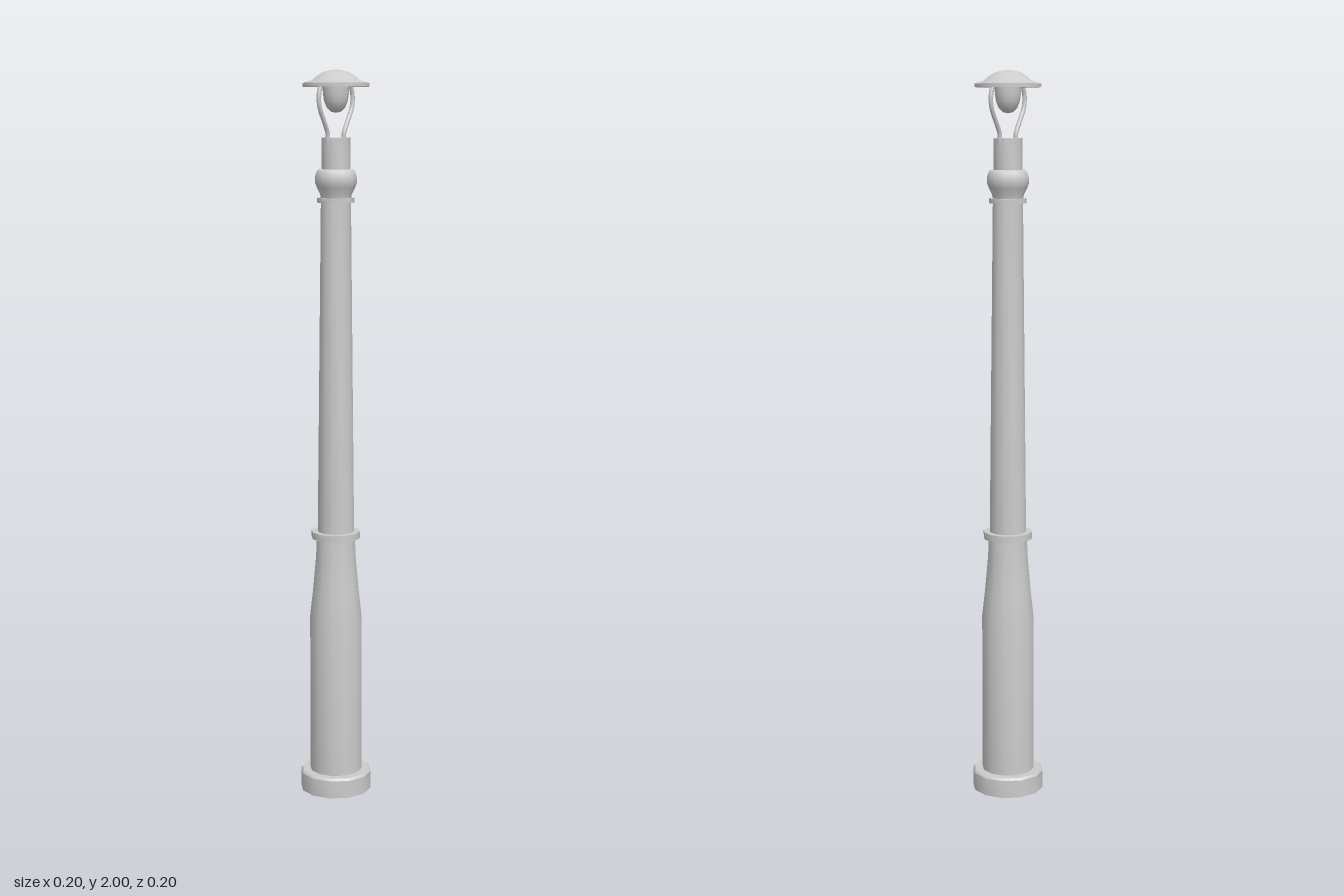
import * as THREE from 'three';
import { toCreasedNormals } from 'three/addons/utils/BufferGeometryUtils.js';

export function createModel() {
  const model = new THREE.Group();
  const material = new THREE.MeshStandardMaterial({ color: 0xcccccc });

  const add = (name, geometry) => {
    const mesh = new THREE.Mesh(geometry, material);
    mesh.name = name;
    model.add(mesh);
    return mesh;
  };

  // Turned part from [radius, height] pairs, bottom to top; 12 sides, corners on the axes
  const turned = (name, profile, crease = 0.6) => {
    const points = profile.map(([r, y]) => new THREE.Vector2(r, y));
    return add(name, toCreasedNormals(new THREE.LatheGeometry(points, 12), crease));
  };

  // Flat ring around the pole
  const collar = (name, r, bottom, top) =>
    turned(name, [[0, bottom], [r, bottom], [r, top], [0, top]]);

  // Pole
  turned('base', [[0, 0], [0.1, 0], [0.1, 0.05], [0.095, 0.056], [0, 0.056]]);
  turned('lowerShaft', [[0.073, 0.05], [0.073, 0.5], [0.064, 0.58], [0.056, 0.67], [0.053, 0.735]]);
  collar('middleCollar', 0.068, 0.727, 0.746);
  turned('upperShaft', [[0.051, 0.74], [0.041, 1.655]]);
  collar('upperCollar', 0.051, 1.65, 1.663);

  // Capital and neck
  turned('capital', [
    [0.041, 1.66], [0.043, 1.672], [0.052, 1.69], [0.057, 1.703],
    [0.057, 1.718], [0.052, 1.734], [0.046, 1.739], [0.036, 1.739],
  ], 0.9);
  turned('neck', [[0.039, 1.735], [0.039, 1.822], [0, 1.822]]);

  // Two curved arms, front and back, carrying the lamp shade
  for (const side of [1, -1]) {
    const path = new THREE.CatmullRomCurve3(
      [[0.034, 1.81], [0.035, 1.835], [0.05, 1.865], [0.068, 1.9], [0.072, 1.93], [0.064, 1.96]]
        .map(([z, y]) => new THREE.Vector3(0, y, side * z)));
    add(side > 0 ? 'frontArm' : 'backArm', new THREE.TubeGeometry(path, 14, 0.006, 8));
  }

  // Egg-shaped lamp below the shade
  turned('bulb', [
    [0, 1.887], [0.014, 1.89], [0.025, 1.901], [0.032, 1.918],
    [0.035, 1.937], [0.036, 1.96],
  ], 1.2);

  // Domed shade with a thin brim
  turned('shade', [
    [0, 1.955], [0.09, 1.955], [0.09, 1.965], [0.065, 1.972], [0.052, 1.983],
    [0.036, 1.993], [0.018, 1.998], [0, 2],
  ]);

  return model;
}
